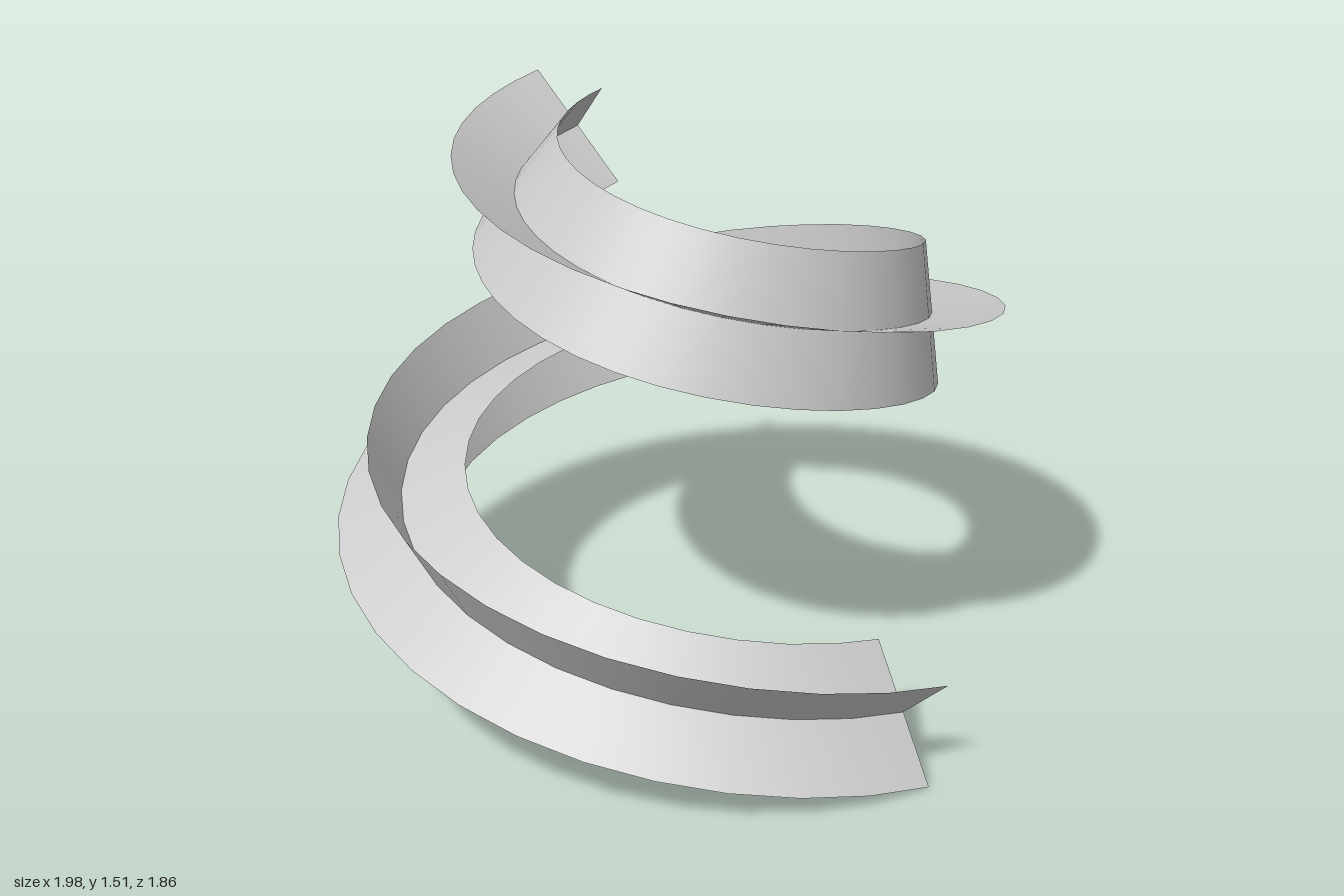
import * as THREE from 'three';

const AXIS = { x: -0.047, z: -0.06 };
const SEGMENTS = 54;
const HALF_WIDTH = 0.195;
const Q = Math.PI / 2;

// Shrinking, rising spiral: (angle, radius, height) at each quarter turn
const spiral = new THREE.CatmullRomCurve3([
  [0.017, 0.897, 0.148], [Q, 0.822, 0.385], [2 * Q, 0.761, 0.63], [3 * Q, 0.675, 0.865],
  [4 * Q, 0.604, 1.075], [5 * Q, 0.488, 1.258], [6 * Q - 0.15, 0.437, 1.387],
].map((p) => new THREE.Vector3(...p)));

function centreAt(u) {
  const p = spiral.getPoint(u);
  return new THREE.Vector3(AXIS.x + p.y * Math.cos(p.x), p.z, AXIS.z + p.y * Math.sin(p.x));
}

// Flat strip swept along the spiral, turning a quarter turn about it on the way
function ribbon(name, startTilt, material) {
  const positions = [], index = [];
  for (let i = 0; i <= SEGMENTS; i++) {
    const u = i / SEGMENTS;
    const centre = centreAt(u);
    const tangent = centreAt(Math.min(1, u + 0.004)).sub(centreAt(Math.max(0, u - 0.004))).normalize();
    const outward = new THREE.Vector3(centre.x - AXIS.x, 0, centre.z - AXIS.z);
    outward.addScaledVector(tangent, -outward.dot(tangent)).normalize();
    const up = new THREE.Vector3().crossVectors(outward, tangent).normalize();
    if (up.y < 0) up.negate();
    const tilt = startTilt - u * Math.PI / 2;
    const across = outward.multiplyScalar(Math.sin(tilt)).addScaledVector(up, Math.cos(tilt));
    for (const side of [-1, 0, 1]) {
      positions.push(...centre.clone().addScaledVector(across, side * HALF_WIDTH).toArray());
    }
    if (i === SEGMENTS) break;
    for (const j of [0, 1]) {
      const a = i * 3 + j, b = a + 3;
      index.push(a, b, a + 1, a + 1, b, b + 1);
    }
  }
  const geometry = new THREE.BufferGeometry();
  geometry.setAttribute('position', new THREE.Float32BufferAttribute(positions, 3));
  geometry.setIndex(index);
  geometry.computeVertexNormals();
  const mesh = new THREE.Mesh(geometry, material);
  mesh.name = name;
  return mesh;
}

export function createModel() {
  const group = new THREE.Group();
  group.name = 'crossedSpiralRibbons';
  const material = new THREE.MeshStandardMaterial({ color: 0xcccccc, side: THREE.DoubleSide });
  // Two strips crossing at right angles along the same path
  group.add(ribbon('uprightRibbon', Math.PI / 4, material));
  group.add(ribbon('flatRibbon', Math.PI * 3 / 4, material));
  return group;
}
